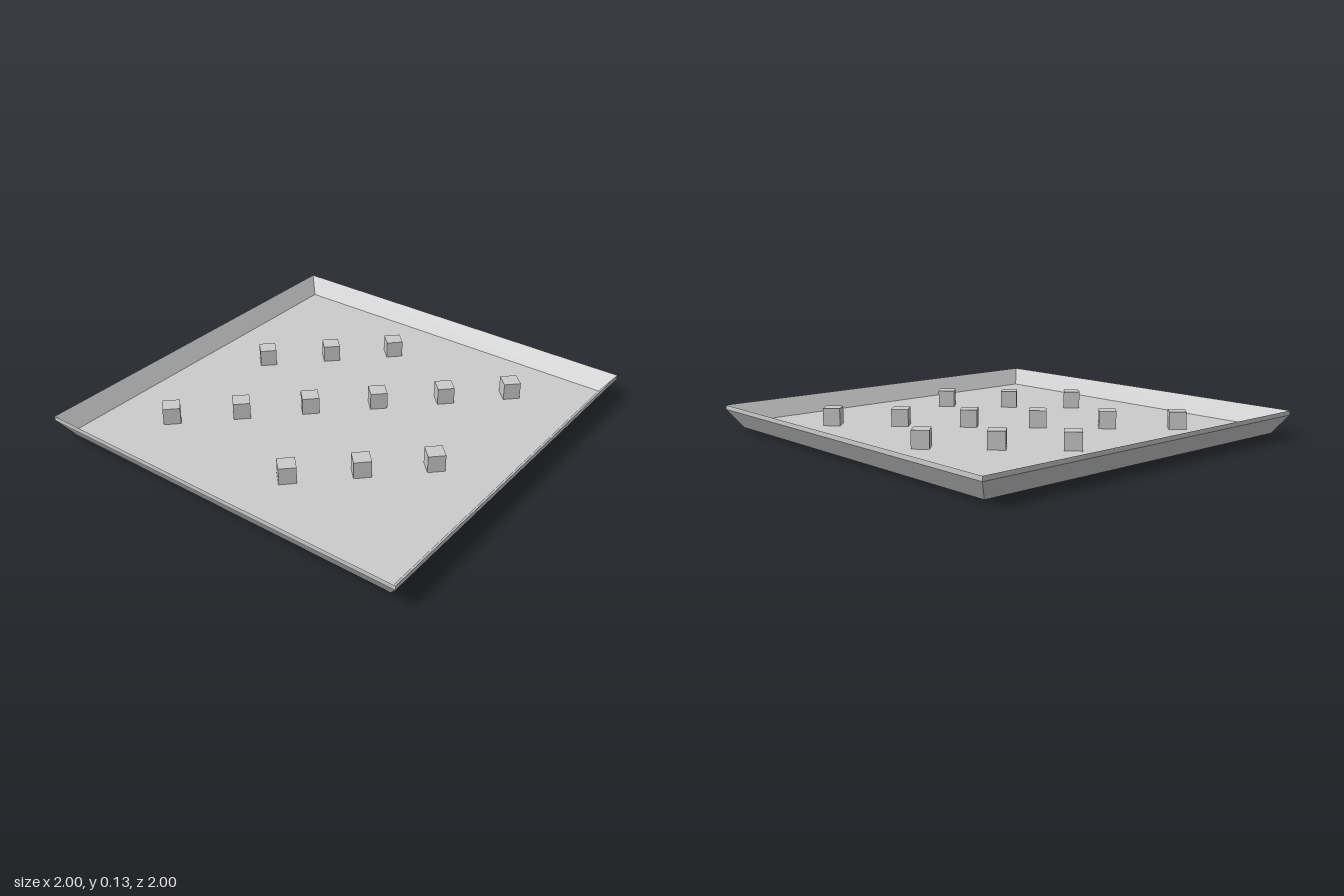
import * as THREE from 'three';

const material = new THREE.MeshStandardMaterial({
  color: 0xcccccc, flatShading: true, side: THREE.DoubleSide,
});
const BASE = 0.937; // half width of the floor
const FLOOR = 0.043; // floor height, recessed above the foot of the wall
const PEG = 0.06; // half diagonal of a peg
const TOP = 0.13;

// Four-sided turned form with crisp faces
function squareLathe(profile) {
  const points = profile.map(([r, y]) => new THREE.Vector2(r, y));
  const geometry = new THREE.LatheGeometry(points, 4).toNonIndexed();
  geometry.computeVertexNormals();
  return geometry;
}

// Peg centres: three diagonal rows, [first x, first z, count]
function pegCentres() {
  const step = 0.2425;
  const centres = [];
  for (const [x, z, count] of [[-0.628, -0.143, 3], [-0.628, 0.585, 6], [0.141, 0.625, 3]]) {
    for (let i = 0; i < count; i++) centres.push([x + i * step, z - i * step]);
  }
  return centres;
}

export function createModel() {
  const model = new THREE.Group();
  model.name = 'peggedTray';
  const add = (name, geometry, parent = model) => {
    const mesh = new THREE.Mesh(geometry, material);
    mesh.name = name;
    parent.add(mesh);
    return mesh;
  };

  // Sloping wall with a short upright lip and a foot below the floor
  const wall = squareLathe([[BASE, FLOOR], [BASE, 0.015], [1, 0.108], [1, TOP], [BASE, FLOOR]]);
  wall.rotateY(Math.PI / 4).scale(Math.SQRT2, 1, Math.SQRT2);
  add('wall', wall);

  // Thin floor sheet
  const floor = new THREE.PlaneGeometry(2 * BASE, 2 * BASE).rotateX(-Math.PI / 2);
  add('floor', floor).position.y = FLOOR;

  // Hollow diamond pegs through the floor, open at the bottom
  const pegs = new THREE.Group();
  pegs.name = 'pegs';
  model.add(pegs);
  const pegGeometry = squareLathe([[PEG, 0], [PEG, TOP], [0, TOP]]);
  for (const [x, z] of pegCentres()) add('peg', pegGeometry, pegs).position.set(x, 0, z);

  return model;
}
